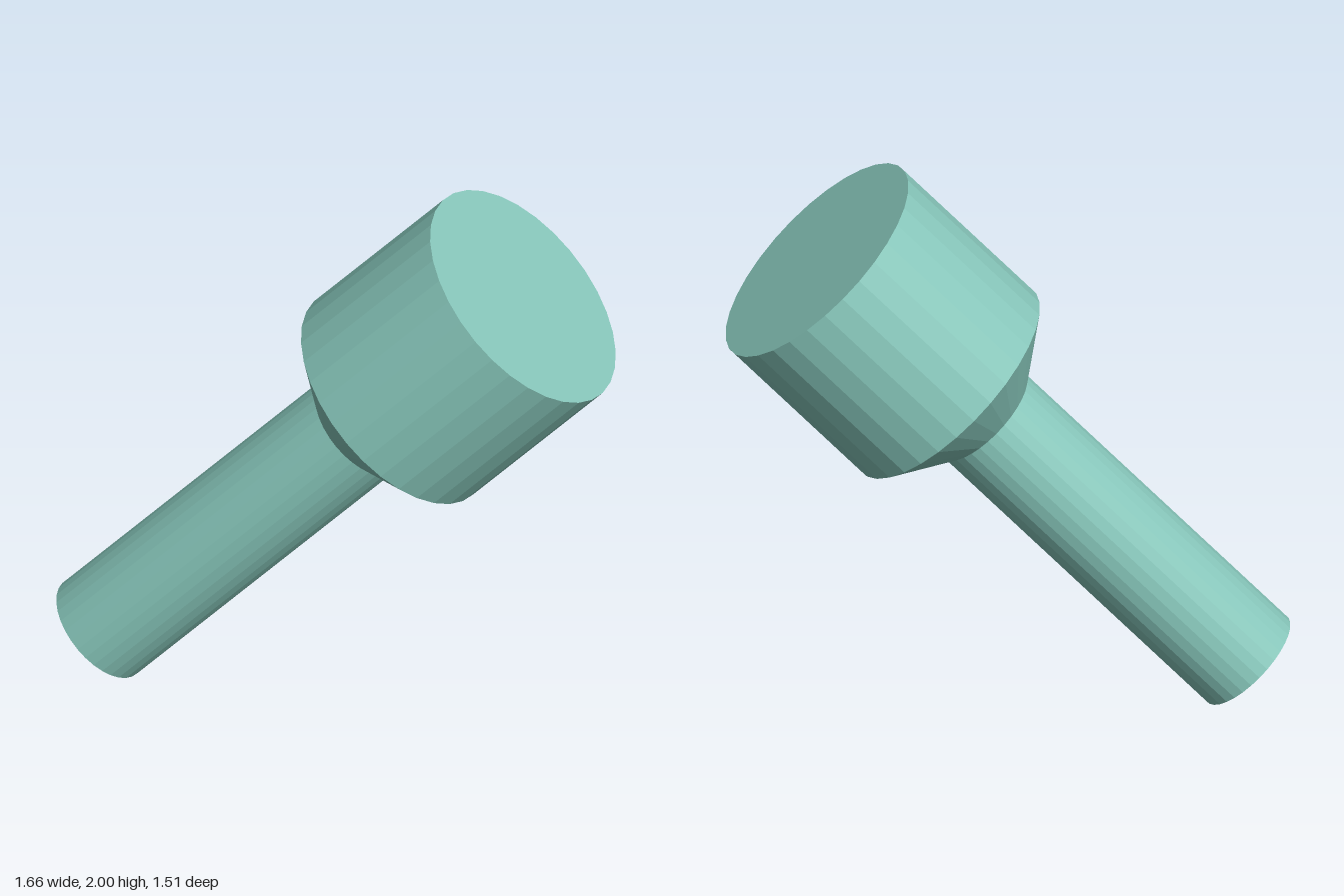
import * as THREE from 'three';

export function createModel() {
  const model = new THREE.Group();
  const material = new THREE.MeshStandardMaterial({ color: 0x88c8bc, flatShading: true });

  // The tool is built upright along y, then leaned onto its axis
  const foot = new THREE.Vector3(-0.66, 0.137, -0.575);
  const top = new THREE.Vector3(0.4625, 1.7075, 0.37);
  const axis = top.clone().sub(foot);
  const length = axis.length();
  const headLength = 0.656, collarLength = 0.18;
  const handleLength = length - headLength - collarLength;
  const handleRadius = 0.2, headRadius = 0.427;

  const tool = new THREE.Group();
  tool.name = 'tool';
  tool.position.copy(foot);
  tool.quaternion.setFromUnitVectors(new THREE.Vector3(0, 1, 0), axis.normalize());
  model.add(tool);

  // Stacks each section on top of the previous one
  let y = 0;
  function section(name, bottomRadius, topRadius, height, open = false) {
    const geometry = new THREE.CylinderGeometry(topRadius, bottomRadius, height, 32, 1, open);
    const mesh = new THREE.Mesh(geometry, material);
    mesh.name = name;
    mesh.position.y = y + height / 2;
    y += height;
    tool.add(mesh);
  }

  section('handle', handleRadius, handleRadius, handleLength);
  section('taperedCollar', handleRadius, headRadius, collarLength, true);
  section('head', headRadius, headRadius, headLength);

  return model;
}
